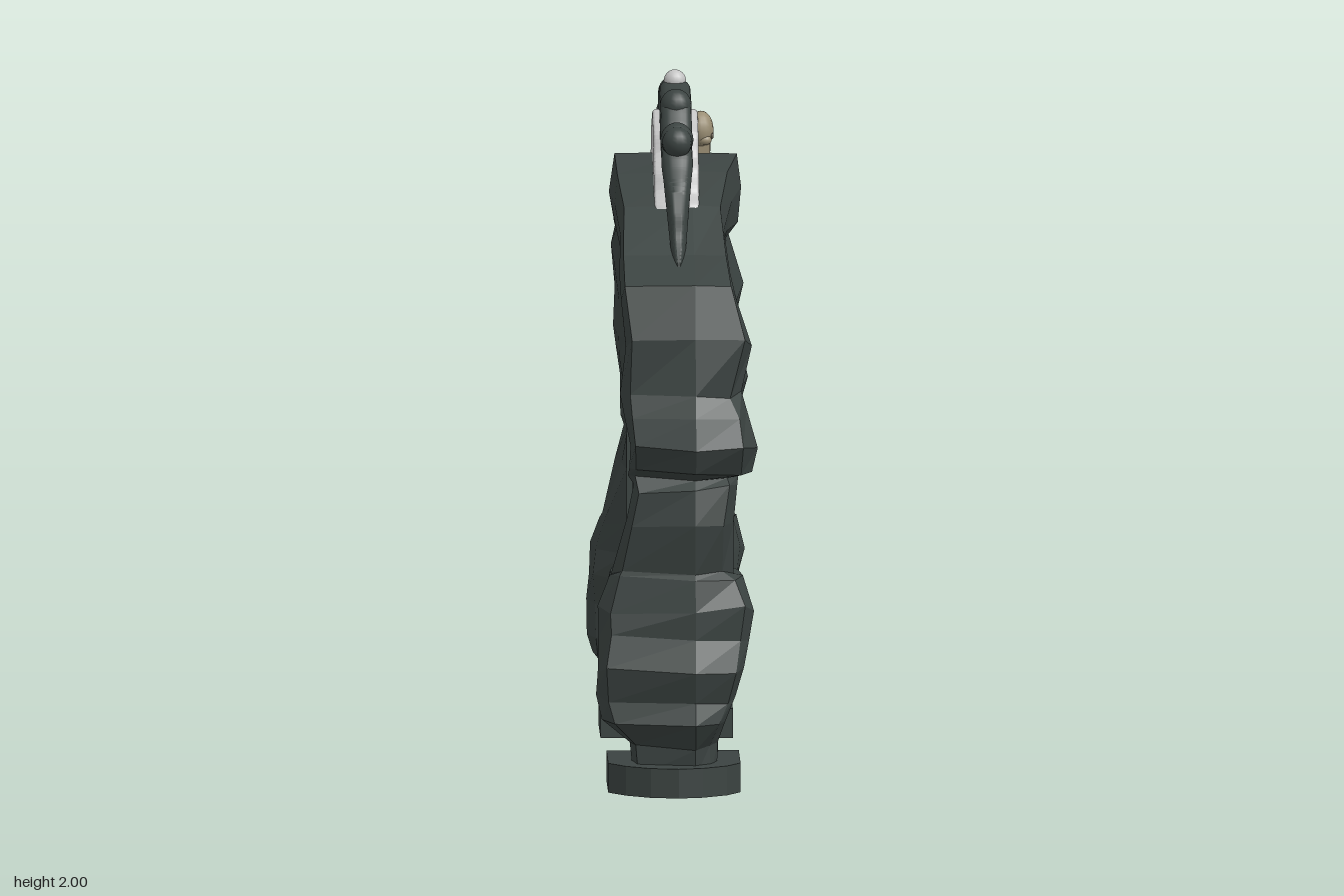
import * as THREE from 'three';
import { toCreasedNormals } from 'three/addons/utils/BufferGeometryUtils.js';

const mat = (name, color) => Object.assign(new THREE.MeshStandardMaterial({ color }), { name });

export function createModel() {
  const model = new THREE.Group();
  model.name = 'stoneArch';
  const rock = mat('dark rock', 0x3b4341);
  const pale = mat('pale stone', 0xc4c4c4);
  const metal = mat('grey bars', 0xa8a8a8);
  const bone = mat('bone', 0x9a8e74);
  const socket = mat('bone shadow', 0x5e5646);

  const add = (name, geo, material, x = 0, y = 0, z = 0) => {
    const mesh = new THREE.Mesh(geo, material);
    mesh.name = name;
    mesh.position.set(x, y, z);
    model.add(mesh);
    return mesh;
  };
  let seed = 7;
  const rand = () => {
    seed = (seed * 16807) % 2147483647;
    return seed / 2147483647 - 0.5;
  };

  // Craggy leg sections: height, outer z, left and right x limits
  const legRows = [
    [0.05, 0.70, -0.13, 0.11], [0.13, 0.71, -0.14, 0.11], [0.21, 0.78, -0.22, 0.14],
    [0.27, 0.74, -0.23, 0.17], [0.36, 0.77, -0.235, 0.19], [0.45, 0.72, -0.23, 0.205],
    [0.53, 0.72, -0.23, 0.22], [0.62, 0.70, -0.20, 0.19], [0.635, 0.685, -0.19, 0.155],
    [0.78, 0.71, -0.15, 0.16], [0.88, 0.69, -0.13, 0.17], [0.905, 0.66, -0.14, 0.17],
    [0.94, 0.77, -0.14, 0.21], [1.01, 0.80, -0.14, 0.225], [1.10, 0.77, -0.15, 0.20],
    [1.16, 0.73, -0.16, 0.18],
  ];
  // Arch sections: inner z, inner y, outer z, outer y, left and right x limits
  const archRows = [
    [0.42, 1.23, 0.70, 1.32, -0.15, 0.21], [0.40, 1.32, 0.65, 1.47, -0.165, 0.17],
    [0.37, 1.37, 0.49, 1.535, -0.16, 0.15], [0.28, 1.43, 0.29, 1.65, -0.16, 0.14],
    [0.14, 1.47, 0.13, 1.725, -0.175, 0.165], [0, 1.47, 0, 1.76, -0.18, 0.2],
  ];
  const half = [
    ...legRows.map(([y, z, a, b]) => ({ zi: 0.42, yi: y, zo: z, yo: y, a, b, flat: false })),
    ...archRows.map(([zi, yi, zo, yo, a, b]) => ({ zi, yi, zo, yo, a, b, flat: true })),
  ];
  const path = [...half, ...half.slice(0, -1).reverse().map(r => ({ ...r, zi: -r.zi, zo: -r.zo }))];

  // Loft the sections into one faceted arch
  const N = 9, pos = [], idx = [];
  path.forEach((r, i) => {
    const k = r.flat ? 0.92 : 0.85, e = r.flat ? 0.98 : 0.86;
    const ring = [
      [-0.125, 0], [0.12, 0], [r.b * 0.93, 0.32], [r.b, 0.66], [r.b * k, e],
      [0.05, 1], [r.a * k, e], [r.a, 0.62], [r.a * 0.93, 0.3],
    ];
    ring.forEach(([x, t], j) => {
      const rough = j > 1 && j !== 5 ? 1 : 0;
      const u = t + rough * (r.flat ? 0.04 : 0.1) * rand();
      pos.push(
        x + rough * 0.012 * rand(),
        r.yi + (r.yo - r.yi) * u + (r.flat || i === 0 ? 0 : rough * 0.025 * rand()),
        r.zi + (r.zo - r.zi) * u,
      );
      if (i < path.length - 1) {
        const a = i * N + j, b = i * N + (j + 1) % N;
        idx.push(a, a + N, b, b, a + N, b + N);
      }
    });
  });
  const indexed = new THREE.BufferGeometry();
  indexed.setAttribute('position', new THREE.Float32BufferAttribute(pos, 3));
  indexed.setIndex(idx);
  const archGeo = indexed.toNonIndexed();
  archGeo.computeVertexNormals();
  add('rockArch', archGeo, rock);

  // Plinths with a rounded outer end
  for (const s of [1, -1]) {
    const outline = [[-0.2, 0.4], [0.18, 0.4], [0.18, 0.65], [0.14, 0.71], [0.07, 0.755],
      [0, 0.77], [-0.08, 0.755], [-0.15, 0.71], [-0.2, 0.65]];
    const shape = new THREE.Shape(outline.map(([x, z]) => new THREE.Vector2(x, z * s)));
    const geo = new THREE.ExtrudeGeometry(shape, { depth: 0.085, bevelEnabled: false });
    geo.rotateX(Math.PI / 2);
    add('plinth', geo, rock, 0, 0.085, 0);
  }

  // Symmetrical plate standing in the plane of the arch
  const plate = (pts, floor, depth, bevel) => {
    const v = [...pts, ...pts.slice(0, -1).reverse().map(([z, y]) => [-z, y])]
      .map(([z, y]) => new THREE.Vector2(z, y));
    const shape = new THREE.Shape();
    shape.moveTo(v[0].x, v[0].y);
    shape.splineThru(v.slice(1));
    shape.lineTo(0, floor);
    const geo = new THREE.ExtrudeGeometry(shape, {
      depth: depth - 2 * bevel, bevelThickness: bevel, bevelSize: bevel, bevelOffset: -bevel,
      bevelSegments: 4, curveSegments: 60,
    });
    geo.translate(0, 0, bevel - depth / 2);
    return geo.rotateY(-Math.PI / 2);
  };

  // Dark crest, thinning toward its ends
  const crest = plate([[0.55, 1.51], [0.48, 1.58], [0.45, 1.65], [0.41, 1.71], [0.36, 1.765],
    [0.32, 1.81], [0.24, 1.83], [0.2, 1.88], [0.16, 1.925], [0.11, 1.95], [0.06, 1.955],
    [0, 1.97]], 1.5, 0.09, 0.03);
  const cp = crest.attributes.position;
  for (let i = 0; i < cp.count; i++) {
    const w = Math.min(1, Math.max(0.15, (0.6 - Math.abs(cp.getZ(i))) / 0.28));
    cp.setX(i, cp.getX(i) * w);
  }
  add('crest', toCreasedNormals(crest, 0.7), rock, 0.005);

  // Scroll knobs and lobes on the crest
  for (const s of [1, -1]) {
    for (const [z, y, r] of [[0.28, 1.838, 0.05], [0.31, 1.835, 0.045], [0.13, 1.915, 0.048]]) {
      const knob = add('crestScroll', new THREE.SphereGeometry(r, 16, 12), rock, 0.005, y, z * s);
      knob.scale.x = 0.95;
    }
  }
  add('finial', new THREE.SphereGeometry(0.032, 16, 12), pale, 0.005, 1.968, 0);

  // Pale scalloped panel showing on both sides
  const panel = plate([[0.33, 1.59], [0.295, 1.65], [0.245, 1.68], [0.215, 1.74], [0.165, 1.775],
    [0.135, 1.835], [0.08, 1.855], [0, 1.885]], 1.55, 0.13, 0.012);
  add('scallopedPanel', toCreasedNormals(panel, 0.7), pale, 0.005);

  // Skull ornament
  const skull = new THREE.Group();
  skull.name = 'skull';
  skull.position.set(0.08, 1.825, 0);
  model.add(skull);
  const bit = (name, geo, material, x, y, z, sx = 1, sy = 1, sz = 1) => {
    const mesh = new THREE.Mesh(geo, material);
    mesh.name = name;
    mesh.position.set(x, y, z);
    mesh.scale.set(sx, sy, sz);
    skull.add(mesh);
  };
  const ball = new THREE.SphereGeometry(1, 16, 12);
  bit('cranium', ball, bone, 0, 0, 0, 0.036, 0.055, 0.05);
  bit('jaw', new THREE.BoxGeometry(0.05, 0.04, 0.06), bone, 0, -0.045, 0);
  for (const s of [1, -1]) {
    bit('cheek', ball, bone, 0.01, -0.025, s * 0.032, 0.02, 0.015, 0.016);
    bit('eyeSocket', ball, socket, 0.031, -0.015, s * 0.02, 0.005, 0.009, 0.009);
  }
  for (const z of [-0.018, 0, 0.018]) {
    bit('toothGap', new THREE.BoxGeometry(0.004, 0.018, 0.003), socket, 0.025, -0.05, z);
  }

  // Broken grille: z and bottom of uprights, then height and z span of rails
  for (const z of [0.225, 0.05, -0.145, -0.305]) {
    add('grilleUpright', new THREE.BoxGeometry(0.028, 0.4, 0.028), metal, 0, 1.29, z);
  }
  for (const [y, z0, z1] of [[1.405, 0.05, 0.36], [1.255, 0.285, 0.45], [1.255, -0.035, 0.125],
    [1.255, -0.45, -0.235]]) {
    add('grilleRail', new THREE.BoxGeometry(0.034, 0.028, z1 - z0), metal, 0, y, (z0 + z1) / 2);
  }
  return model;
}
